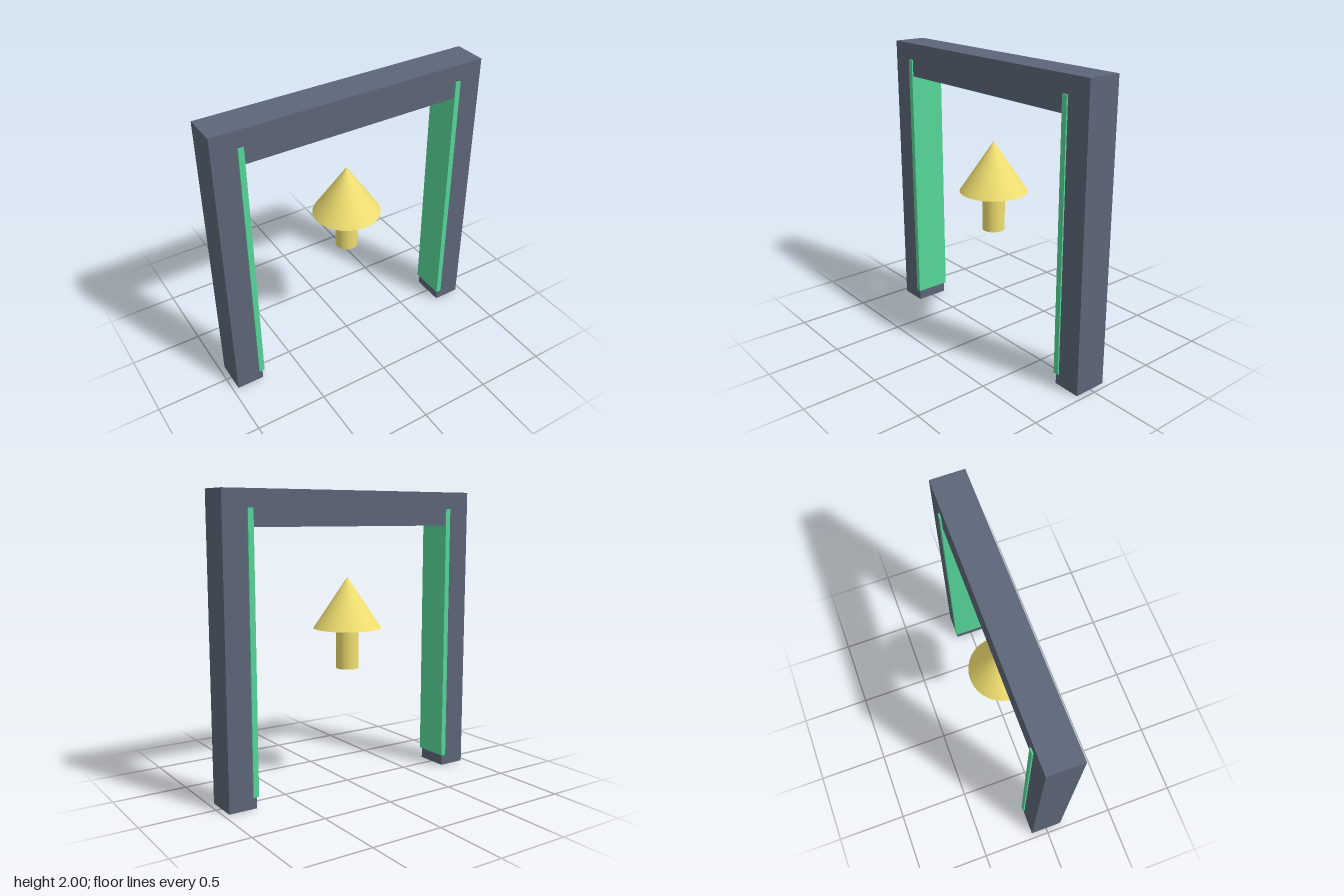
import * as THREE from 'three';

const material = (color) => new THREE.MeshStandardMaterial({ color });

export function createModel() {
  const model = new THREE.Group();
  model.name = 'gateway';

  const frameMaterial = material(0x5c6678);
  const stripMaterial = material(0x56d699);
  const arrowMaterial = material(0xf0df70);

  function add(parent, name, geometry, mat, x, y, z = 0) {
    const mesh = new THREE.Mesh(geometry, mat);
    mesh.name = name;
    mesh.position.set(x, y, z);
    parent.add(mesh);
    return mesh;
  }

  // Frame: a lintel resting on two posts
  const height = 2, halfWidth = 0.962, depth = 0.231;
  const beamHeight = 0.231, postWidth = 0.192;
  const postHeight = height - beamHeight;
  add(model, 'lintel', new THREE.BoxGeometry(halfWidth * 2, beamHeight, depth),
    frameMaterial, 0, height - beamHeight / 2);

  // Posts and their inner strips, slightly proud of the frame
  const stripBottom = 0.077, stripTop = 1.885;
  for (const [side, s] of [['left', 1], ['right', -1]]) {
    add(model, `${side}Post`, new THREE.BoxGeometry(postWidth, postHeight, depth),
      frameMaterial, s * (halfWidth - postWidth / 2), postHeight / 2);
    add(model, `${side}Strip`, new THREE.BoxGeometry(0.038, stripTop - stripBottom, 0.25),
      stripMaterial, s * 0.777, (stripTop + stripBottom) / 2);
  }

  // Floating arrow pointing up
  const arrow = new THREE.Group();
  arrow.name = 'arrow';
  const shaftBottom = 0.808, headBottom = 1.085, headHeight = 0.346;
  add(arrow, 'arrowShaft', new THREE.CylinderGeometry(0.077, 0.077, headBottom - shaftBottom, 32),
    arrowMaterial, 0, (shaftBottom + headBottom) / 2);
  add(arrow, 'arrowHead', new THREE.ConeGeometry(0.231, headHeight, 32),
    arrowMaterial, 0, headBottom + headHeight / 2);
  model.add(arrow);

  return model;
}
